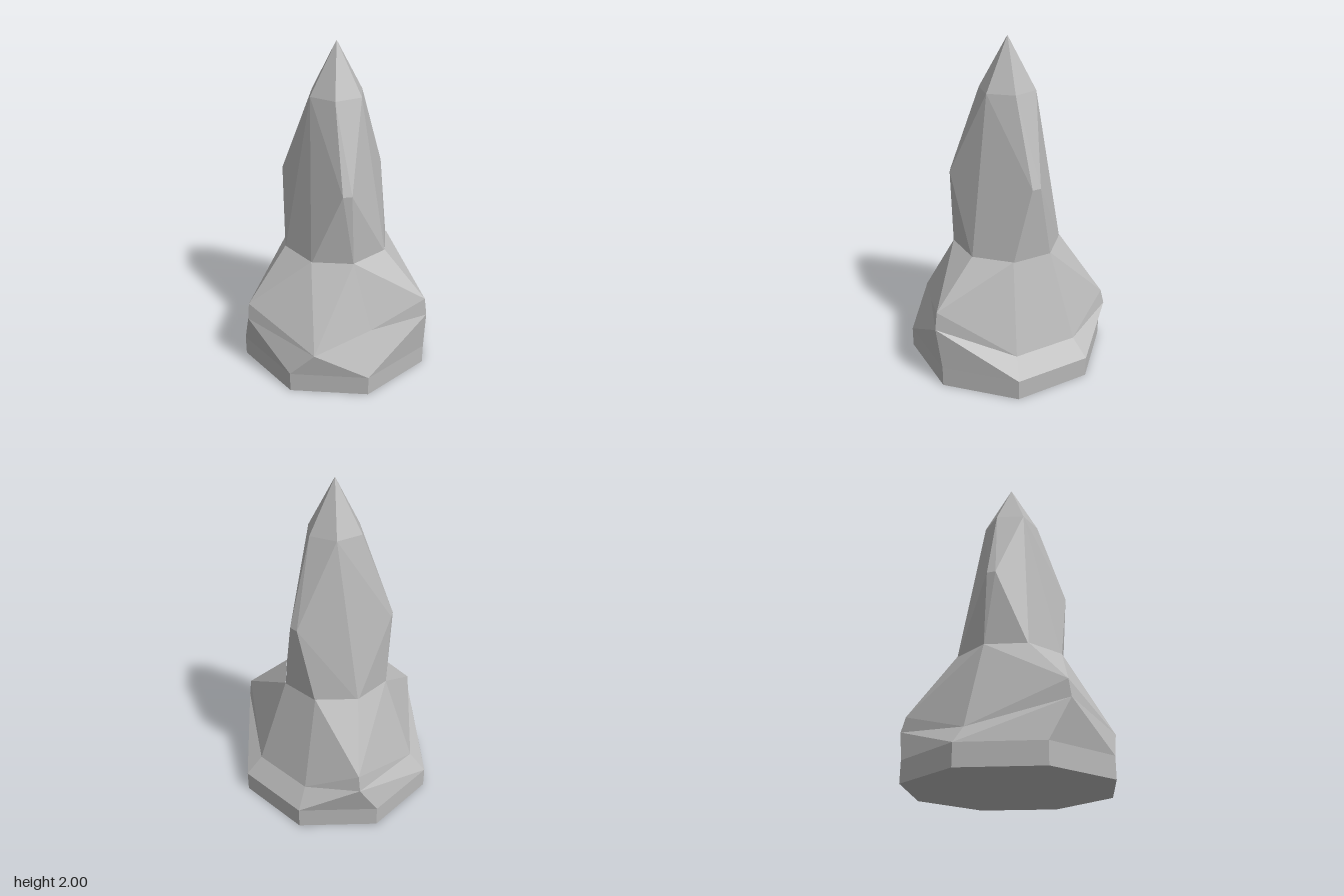
import * as THREE from 'three';
import { ConvexGeometry } from 'three/addons/geometries/ConvexGeometry.js';

const CX = -0.015, CZ = -0.025; // axis of the rock

// Regular ring of points around the axis, running from +x towards +z
function ring(sides, radius, y, startDeg) {
  return Array.from({ length: sides }, (_, k) => {
    const a = THREE.MathUtils.degToRad(startDeg + (k * 360) / sides);
    return new THREE.Vector3(CX + radius * Math.cos(a), y, CZ + radius * Math.sin(a));
  });
}

// Ring with some corners pulled out to new places
function bulgedRing(corners) {
  const pts = ring(8, 0.515, 0.23, -22.5);
  for (const [k, p] of Object.entries(corners)) pts[k].set(...p);
  return pts;
}

// Skin stacked rings; pivots[k] says which column's bulge the facets fan from
function skin(rows, pivots, bulgeRow) {
  const pos = [];
  const tri = (...pts) => pts.forEach((p) => pos.push(p.x, p.y, p.z));
  for (let r = 0; r < rows.length - 1; r++) {
    for (let k = 0; k < 8; k++) {
      const n = (k + 1) % 8;
      const a0 = rows[r][k], a1 = rows[r][n], b0 = rows[r + 1][k], b1 = rows[r + 1][n];
      const below = r < bulgeRow;
      if ((pivots[k] === 0) === below) {
        tri(a0, b0, a1);
        tri(b0, b1, a1);
      } else {
        tri(a0, b0, b1);
        tri(a0, b1, a1);
      }
    }
  }
  // underside
  const c = new THREE.Vector3(CX, 0, CZ);
  for (let k = 0; k < 8; k++) tri(c, rows[0][k], rows[0][(k + 1) % 8]);
  const geo = new THREE.BufferGeometry();
  geo.setAttribute('position', new THREE.Float32BufferAttribute(pos, 3));
  geo.computeVertexNormals();
  return geo;
}

export function createModel() {
  const group = new THREE.Group();
  group.name = 'rockSpire';
  const stone = new THREE.MeshStandardMaterial({ color: 0xb8b8b8, flatShading: true });
  stone.name = 'grey stone';

  // Wide foot with three blunt bulges and one low front corner
  const frontCorner = [0.34, 0.28, 0.45], sideFold = [0.457, 0.37, 0.105];
  const rows = [
    ring(8, 0.615, 0, -22.5),
    ring(8, 0.615, 0.125, -22.5),
    bulgedRing({
      0: [0.58, 0.39, -0.24], 1: sideFold, 2: frontCorner,
      3: [-0.13, 0.36, 0.59], 5: [-0.535, 0.31, -0.365],
    }),
    bulgedRing({
      0: [0.565, 0.5, -0.235], 1: sideFold, 2: frontCorner,
      3: [-0.135, 0.46, 0.575], 5: [-0.515, 0.4, -0.355],
    }),
    ring(8, 0.33, 0.755, -22.5),
  ];
  const foot = new THREE.Mesh(skin(rows, [0, 1, 1, 0, 1, 0, 0, 1], 2), stone);
  foot.name = 'rockFoot';
  group.add(foot);

  // Tall faceted spire: octagon, blunted triangle, hexagon and tip
  const shoulder = [
    ...ring(3, 0.342, 1.2, 34.5),
    ...ring(3, 0.342, 1.2, 25.5),
  ];
  const spire = new THREE.Mesh(new ConvexGeometry([
    ...ring(8, 0.33, 0.74, -22.5),
    ...shoulder,
    ...ring(6, 0.168, 1.7, -17),
    new THREE.Vector3(CX, 2, CZ),
  ]), stone);
  spire.name = 'spire';
  group.add(spire);

  return group;
}
